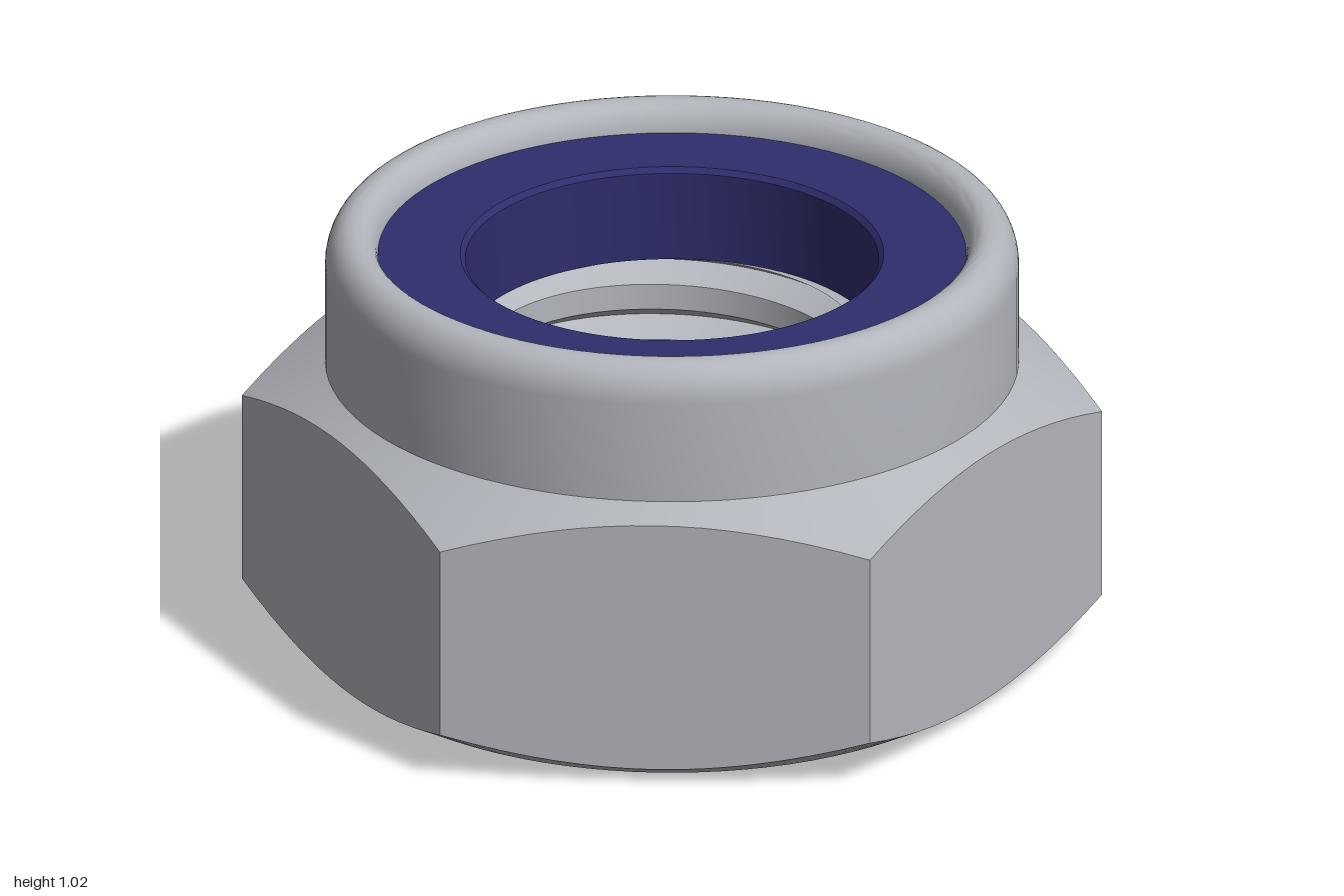
import * as THREE from 'three';
import { toCreasedNormals } from 'three/addons/utils/BufferGeometryUtils.js';

const SEGMENTS = 96;
const BORE = 0.44, GROOVE = 0.5, PITCH = 0.14; // thread radii and pitch
const SHELF = 0.73;   // height where the thread ends under the insert
const COLLAR = 0.806; // collar and chamfer circle radius
const SHOULDER = 0.69;

// Surface from rings: section(angle) returns [radius, height] for every row.
function ringSurface(section) {
  const position = [], index = [];
  let rows = 0;
  for (let j = 0; j <= SEGMENTS; j++) {
    const a = (j / SEGMENTS) * Math.PI * 2;
    const points = section(a);
    rows = points.length;
    for (const [r, y] of points) position.push(r * Math.sin(a), y, r * Math.cos(a));
  }
  for (let j = 0; j < SEGMENTS; j++) {
    for (let i = 0; i < rows - 1; i++) {
      const a = j * rows + i, b = a + rows;
      index.push(a, b, b + 1, a, b + 1, a + 1);
    }
  }
  const geometry = new THREE.BufferGeometry();
  geometry.setAttribute('position', new THREE.Float32BufferAttribute(position, 3));
  geometry.setIndex(index);
  return toCreasedNormals(geometry, 0.4);
}

function lathe(points) {
  const profile = points.map(([r, y]) => new THREE.Vector2(r, y));
  return toCreasedNormals(new THREE.LatheGeometry(profile, SEGMENTS), 0.5);
}

// Hexagon section with 30 degree conical chamfers above and below
function hexSection(angle) {
  const sector = Math.PI / 3;
  const r = 0.866 / Math.cos((angle % sector) - sector / 2);
  const chamfer = (r - COLLAR) * 0.577;
  return [[0.544, 0], [COLLAR, 0], [r, chamfer], [r, SHOULDER - chamfer], [COLLAR, SHOULDER]];
}

// Helical V groove, opened by a countersink at the bottom
function threadRadius(turn) {
  const t = turn - Math.floor(turn);
  const depth = t < 0.45 ? 0 : 1 - Math.abs(t - 0.725) / 0.275;
  return BORE + (GROOVE - BORE) * depth;
}

const STEPS = [0, 0.15, 0.3, 0.45, 0.5875, 0.725, 0.8625];
function threadSection(angle) {
  const lead = angle / (Math.PI * 2);
  const rows = [[GROOVE, SHELF]]; // shelf beneath the insert
  for (let k = Math.ceil(SHELF / PITCH); k >= -2; k--) {
    for (let s = STEPS.length - 1; s >= 0; s--) {
      const y = THREE.MathUtils.clamp((k + STEPS[s] + lead) * PITCH, 0, SHELF);
      rows.push([Math.max(threadRadius(y / PITCH - lead), 0.544 - y), y]);
    }
  }
  return rows;
}

// Collar wall with its lip rolled inward over the insert
function collarProfile() {
  const points = [[COLLAR, SHOULDER]];
  for (let i = 0; i <= 10; i++) {
    const a = (i / 10) * Math.PI / 2;
    points.push([0.741 + 0.065 * Math.cos(a), 0.935 + 0.09 * Math.sin(a)]);
  }
  for (let i = 0; i <= 10; i++) {
    const a = Math.PI / 2 + (i / 10) * Math.PI / 2;
    points.push([0.735 + 0.052 * Math.cos(a), 0.95 + 0.075 * Math.sin(a)]);
  }
  return points;
}

export function createModel() {
  const steel = new THREE.MeshStandardMaterial({ color: 0xb2b5bc });
  steel.name = 'steel';
  const nylon = new THREE.MeshStandardMaterial({ color: 0x2e2d6c });
  nylon.name = 'blue nylon';

  const group = new THREE.Group();
  group.name = 'lockNut';
  const add = (name, geometry, material) => {
    const mesh = new THREE.Mesh(geometry, material);
    mesh.name = name;
    group.add(mesh);
  };

  add('hexBody', ringSurface(hexSection), steel);
  add('threadedBore', ringSurface(threadSection), steel);
  add('collar', lathe(collarProfile()), steel);

  // Locking insert: underside, outer wall, top, bevelled inner edge and bore
  add('lockingInsert', lathe([
    [0.48, SHELF], [0.685, SHELF], [0.685, 0.96], [0.492, 0.96], [0.48, 0.948], [0.48, SHELF],
  ]), nylon);

  return group;
}
